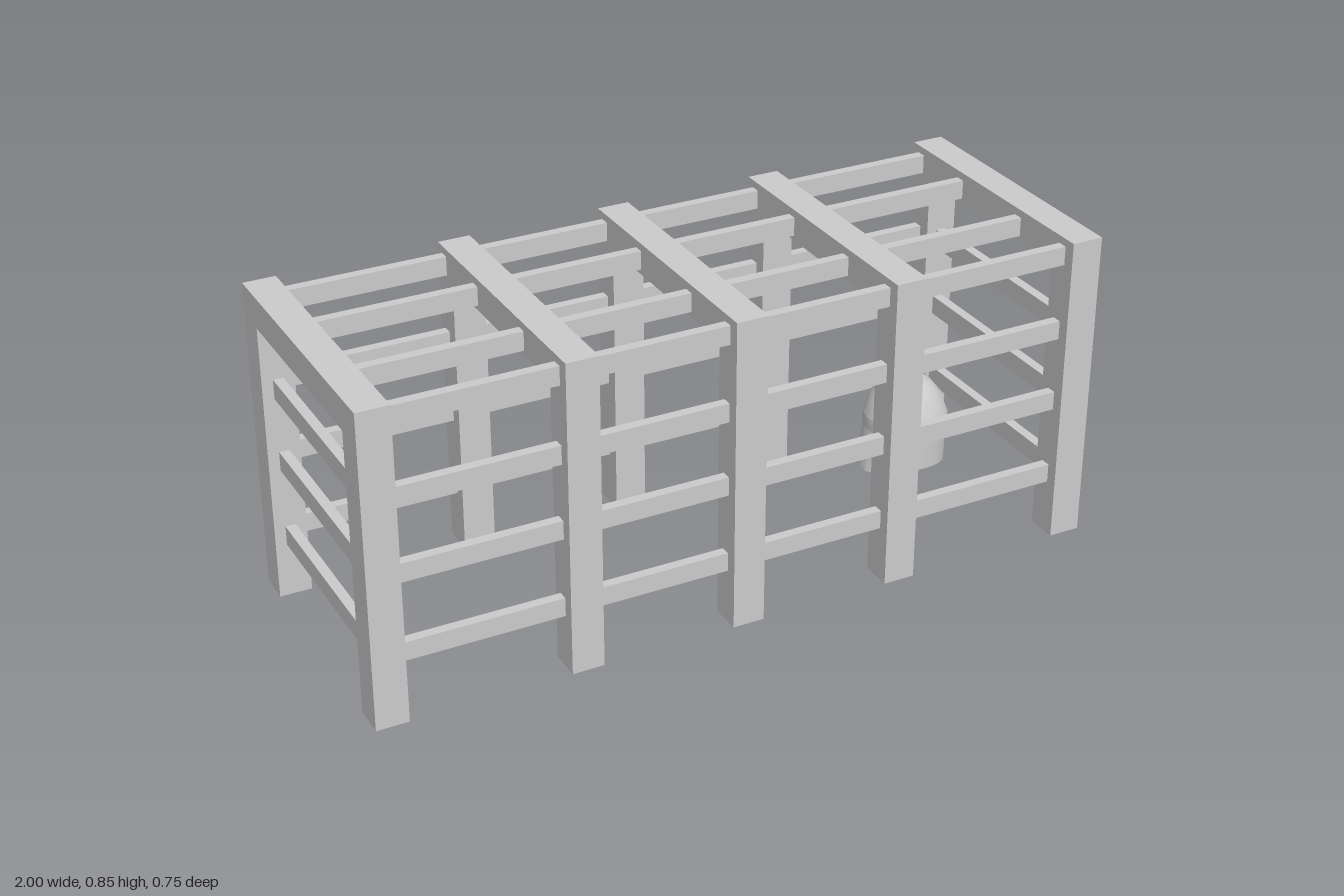
import * as THREE from 'three';

const material = new THREE.MeshStandardMaterial({ color: 0xcccccc, side: THREE.DoubleSide });

function box(parent, name, size, position) {
  const mesh = new THREE.Mesh(new THREE.BoxGeometry(...size), material);
  mesh.name = name;
  mesh.position.set(...position);
  parent.add(mesh);
}

// Upright-and-beam portal standing at x
function portal(x) {
  const g = new THREE.Group();
  g.name = 'portalFrame';
  for (const s of [-1, 1]) box(g, 'post', [0.086, 0.85, 0.086], [0, 0.425, s * 0.33]);
  box(g, 'topBeam', [0.086, 0.085, 0.574], [0, 0.8075, 0]);
  g.position.x = x;
  return g;
}

// Helmet outline as radius and height
const dome = [[0.117, 0.148], [0.112, 0.16], [0.098, 0.2], [0.07, 0.236], [0.035, 0.259], [0, 0.264]];
const wall = [[0.112, 0], [0.113, 0.06], [0.113, 0.112]];
const band = [[0.113, 0.112], [0.117, 0.115], [0.117, 0.148]];

// Revolved helmet piece; the rim flares to the -x side and lifts at the flanks
function shell(parent, name, profile, offset = 0, start = 0, length = Math.PI * 2, segments = 24) {
  const points = profile.map(([r, y]) => new THREE.Vector2(r > 0 ? r + offset : 0, r > 0.05 ? y : y + offset));
  const geo = new THREE.LatheGeometry(points, segments, start, length);
  const p = geo.attributes.position;
  for (let i = 0; i < p.count; i++) {
    const x = p.getX(i), y = p.getY(i), z = p.getZ(i);
    const low = Math.max(0, 1 - y / 0.13);
    const back = Math.max(0, -x / 0.115);
    p.setX(i, x - 0.028 * low * back * back);
    p.setY(i, y + 0.018 * low * (z / 0.115) ** 2);
  }
  geo.computeVertexNormals();
  const mesh = new THREE.Mesh(geo, material);
  mesh.name = name;
  parent.add(mesh);
}

function helmet() {
  const g = new THREE.Group();
  g.name = 'helmet';
  shell(g, 'helmetDome', dome);
  shell(g, 'browBand', band);
  shell(g, 'helmetWall', wall);
  shell(g, 'helmetLining', [...wall, ...dome], -0.006);
  // Raised seam running over the crown and down both ends
  for (const a of [Math.PI / 2 + 0.3, Math.PI * 1.5 + 0.3]) {
    shell(g, 'crestStrip', dome, 0.002, a - 0.1, 0.2, 2);
    shell(g, 'wallStrip', wall, 0.002, a - 0.1, 0.2, 2);
  }
  g.position.set(0.795, 0, -0.173);
  return g;
}

export function createModel() {
  const model = new THREE.Group();
  model.name = 'rackWithHelmet';

  for (const x of [-0.957, -0.445, 0, 0.442, 0.957]) model.add(portal(x));

  // Long rails on both sides
  for (const y of [0.175, 0.391, 0.595, 0.804])
    for (const z of [-0.336, 0.327]) box(model, 'sideRail', [1.83, 0.051, 0.027], [0, y, z]);

  // Long rails across the roof
  for (const z of [-0.142, 0.129]) box(model, 'roofRail', [1.83, 0.051, 0.027], [0, 0.804, z]);

  // Cross rails closing both ends
  for (const s of [-1, 1])
    for (const y of [0.174, 0.389, 0.591]) box(model, 'endRail', [0.027, 0.053, 0.576], [s * 0.957, y, 0]);

  model.add(helmet());
  return model;
}
